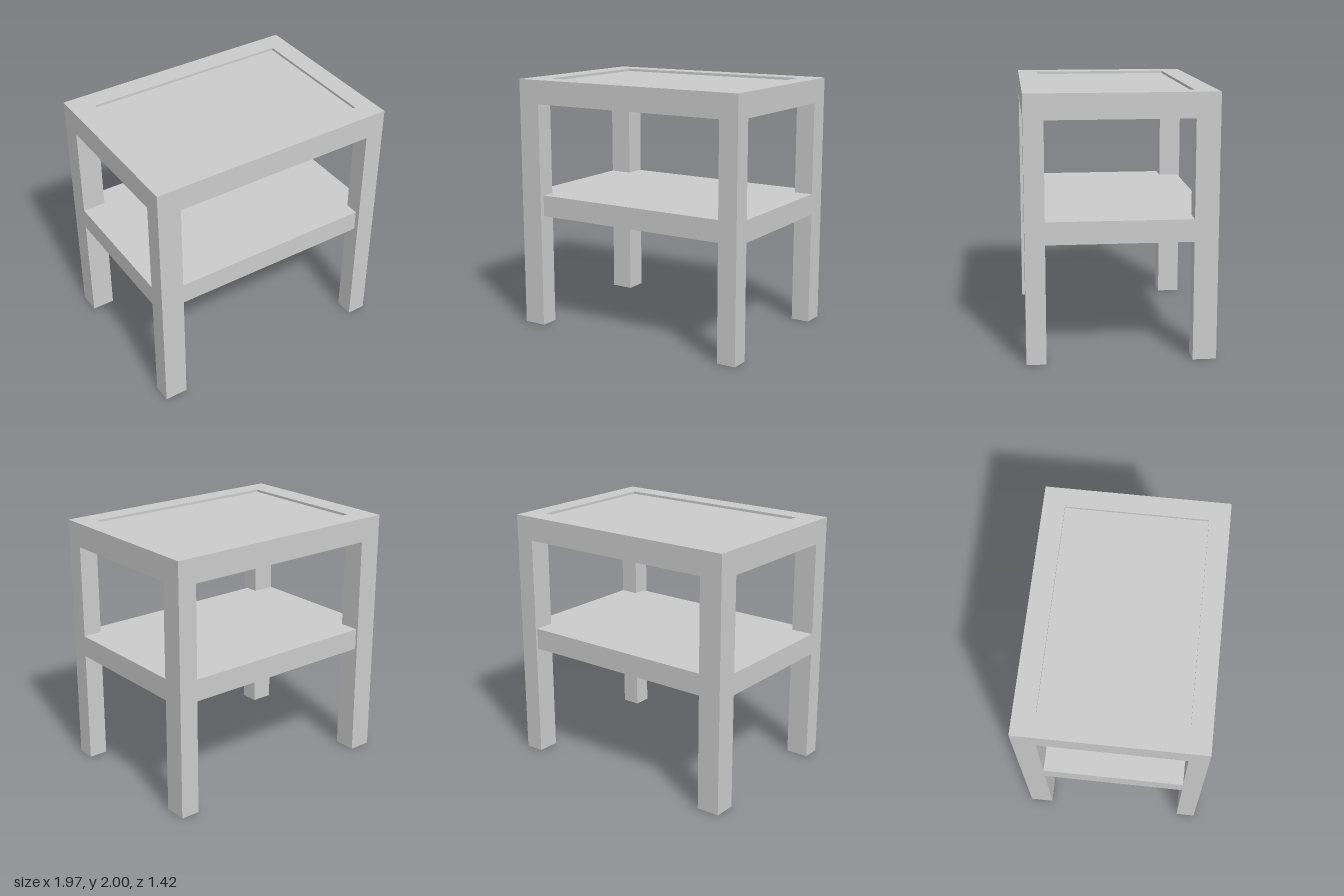
import * as THREE from 'three';

// Outer bounds and the inner faces of the legs
const X0 = -0.987, X1 = 0.987, Z0 = -0.708, Z1 = 0.708;
const IX0 = -0.803, IX1 = 0.835, IZ0 = -0.53, IZ1 = 0.56;
const TOP = 2, SLAB = 1.81, SHELF_TOP = 1.075, SHELF_BOTTOM = 0.905;

export function createModel() {
  const group = new THREE.Group();
  const material = new THREE.MeshStandardMaterial({ color: 0xcccccc, flatShading: true });

  // Box given by its minimum and maximum on each axis
  function box(name, x0, x1, y0, y1, z0, z1) {
    const geometry = new THREE.BoxGeometry(x1 - x0, y1 - y0, z1 - z0);
    geometry.translate((x0 + x1) / 2, (y0 + y1) / 2, (z0 + z1) / 2);
    const mesh = new THREE.Mesh(geometry, material);
    mesh.name = name;
    group.add(mesh);
  }

  // Legs, one per corner
  for (const [side, x0, x1] of [['Right', X0, IX0], ['Left', IX1, X1]]) {
    box(`front${side}Leg`, x0, x1, 0, SLAB, IZ1, Z1);
    box(`back${side}Leg`, x0, x1, 0, SLAB, Z0, IZ0);
  }

  // Table top: a slab with a raised border around a shallow recess
  const recess = 0.02;
  box('topPanel', X0, X1, SLAB, TOP - recess, Z0, Z1);
  const border = new THREE.Shape([[X0, -Z1], [X1, -Z1], [X1, -Z0], [X0, -Z0]]
    .map(([x, y]) => new THREE.Vector2(x, y)));
  border.holes.push(new THREE.Path([[IX0, -0.55], [IX0, 0.54], [0.832, 0.54], [0.832, -0.55]]
    .map(([x, y]) => new THREE.Vector2(x, y))));
  const borderGeometry = new THREE.ExtrudeGeometry(border, { depth: recess, bevelEnabled: false });
  borderGeometry.rotateX(-Math.PI / 2).translate(0, TOP - recess, 0);
  const rim = new THREE.Mesh(borderGeometry, material);
  rim.name = 'topBorder';
  group.add(rim);

  // Shelf: thin board on front and back rails, closed by thin side aprons
  const board = 0.01;
  box('shelfBoard', X0 + board, X1 - board, SHELF_TOP - board, SHELF_TOP, -0.69, 0.67);
  box('shelfFrontRail', IX0, IX1, SHELF_BOTTOM, SHELF_TOP - board, 0.55, 0.67);
  box('shelfBackRail', IX0, IX1, SHELF_BOTTOM, SHELF_TOP - board, -0.69, -0.54);
  box('shelfRightApron', X0, X0 + board, SHELF_BOTTOM, SHELF_TOP, IZ0, IZ1);
  box('shelfLeftApron', X1 - board, X1, SHELF_BOTTOM, SHELF_TOP, IZ0, IZ1);

  return group;
}
